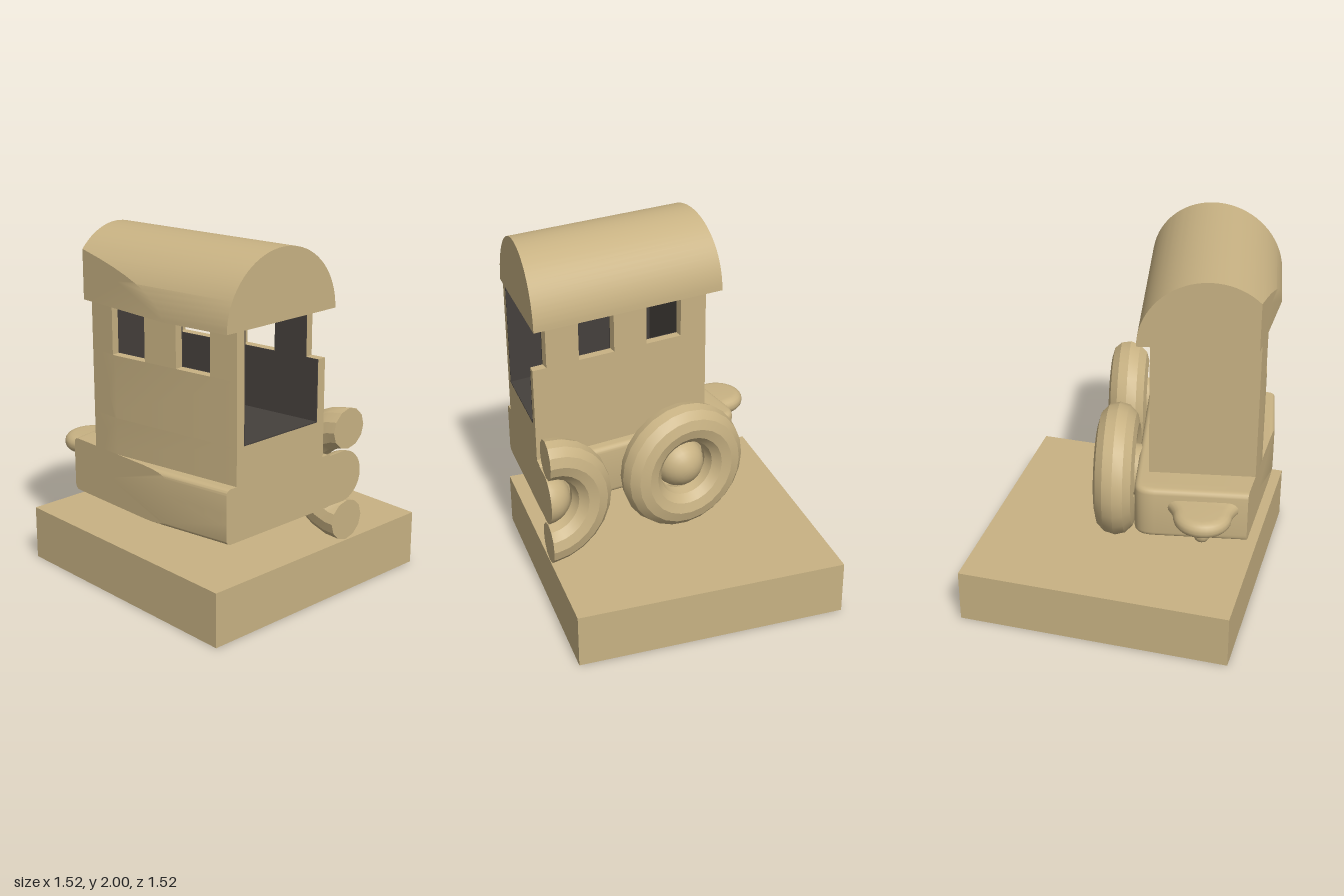
import * as THREE from 'three';
import { mergeGeometries, toCreasedNormals } from 'three/addons/utils/BufferGeometryUtils.js';

const YAW = 0.183;   // the carriage stands at a slight angle on its base
const EDGE = 0.76;   // half width of the square base, where the carriage is sliced
const MID = -0.443;  // centre line of the carriage

// Slice a closed solid where coordinate `axis` times `sign` exceeds EDGE, and cap the cut
function slice(tris, axis, sign) {
  const out = [], rim = [];
  const dist = (p) => p.getComponent(axis) * sign - EDGE;
  for (const tri of tris) {
    const poly = [];
    let exit = null, entry = null;
    for (let i = 0; i < 3; i++) {
      const a = tri[i], b = tri[(i + 1) % 3], da = dist(a), db = dist(b);
      if (da <= 0) poly.push(a);
      if ((da <= 0) !== (db <= 0)) {
        const p = a.clone().lerp(b, da / (da - db));
        poly.push(p);
        if (da <= 0) exit = p; else entry = p;
      }
    }
    for (let i = 2; i < poly.length; i++) out.push([poly[0], poly[i - 1], poly[i]]);
    if (exit && entry) rim.push([exit, entry]);
  }
  if (rim.length) {
    const c = new THREE.Vector3();
    rim.forEach(([a, b]) => c.add(a).add(b));
    c.divideScalar(rim.length * 2);
    rim.forEach(([a, b]) => out.push([c, b, a]));
  }
  return out;
}

// Turn a solid to the carriage angle and slice it at the base edges
function trim(geometry) {
  const g = geometry.index ? geometry.toNonIndexed() : geometry;
  g.rotateY(YAW);
  const pos = g.attributes.position;
  let tris = [];
  for (let i = 0; i < pos.count; i += 3) {
    tris.push([0, 1, 2].map((k) => new THREE.Vector3().fromBufferAttribute(pos, i + k)));
  }
  tris = slice(slice(tris, 0, -1), 2, 1);
  return new THREE.BufferGeometry().setFromPoints(tris.flat());
}

function block(x0, x1, y0, y1, z0, z1) {
  return new THREE.BoxGeometry(x1 - x0, y1 - y0, z1 - z0)
    .translate((x0 + x1) / 2, (y0 + y1) / 2, (z0 + z1) / 2);
}

// Flat outline laid horizontally with rounded upper and lower edges
function slab(shape, y0, y1, bevel, thickness) {
  return new THREE.ExtrudeGeometry(shape, {
    depth: y1 - y0 - 2 * thickness, bevelEnabled: true, bevelSize: bevel, bevelOffset: -bevel,
    bevelThickness: thickness, bevelSegments: 4, curveSegments: 8,
  }).rotateX(-Math.PI / 2).translate(MID, y0 + thickness, 0);
}

export function createModel() {
  const model = new THREE.Group();
  const tan = new THREE.MeshStandardMaterial({ color: 0xc8b283 });
  tan.name = 'tan';
  const dark = new THREE.MeshStandardMaterial({ color: 0x45403c });
  dark.name = 'dark interior';

  const add = (name, geometry, material = tan) => {
    const mesh = new THREE.Mesh(geometry, material);
    mesh.name = name;
    model.add(mesh);
  };
  const solid = (name, parts, material) => {
    const kept = parts.map(trim).filter((g) => g.attributes.position.count);
    add(name, toCreasedNormals(mergeGeometries(kept), 0.5), material);
  };

  // Square base
  add('base', block(-EDGE, EDGE, 0, 0.305, -EDGE, EDGE));

  // Barrel roof
  const arch = new THREE.Shape().absarc(MID, 1.63, 0.372, 0, Math.PI);
  solid('roof', [new THREE.ExtrudeGeometry(arch, { depth: 1.6, bevelEnabled: false, curveSegments: 18 })
    .translate(0, 0, -0.38)]);

  // Chassis with rounded rear corners
  const w = 0.373, plan = new THREE.Shape();
  plan.moveTo(-w, -1.2);
  plan.lineTo(w, -1.2);
  plan.lineTo(w, 0.41);
  plan.quadraticCurveTo(w, 0.5, w - 0.11, 0.5);
  plan.lineTo(0.11 - w, 0.5);
  plan.quadraticCurveTo(-w, 0.5, -w, 0.41);
  solid('chassis', [slab(plan, 0.54, 0.838, 0.03, 0.03)]);

  // Cabin: floor, rear wall, and side walls with windows open up to the roof
  const half = 0.305, wall = 0.049, inner = half - wall, lining = 0.006;
  const rear = -0.315, front = 1.15, floor = 1.04, sill = 1.38, top = 1.63;
  const pillars = [[rear, -0.155], [0.06, 0.26], [0.473, 0.666]];
  solid('cabinFloor', [block(MID - half, MID + half, 0.83, floor, rear, front)]);
  solid('rearWall', [block(MID - half, MID + half, floor, top, rear, rear + wall)]);
  solid('rearLining', [block(MID - inner, MID + inner, floor, top, rear + wall, rear + wall + lining)], dark);
  solid('floorLining', [block(MID - inner, MID + inner, floor, floor + lining, rear + wall, front)], dark);
  for (const side of [1, -1]) {
    const label = side > 0 ? 'left' : 'right';
    const panel = (a, b, y0, y1, z0, z1) => {
      const p = MID + side * a, q = MID + side * b;
      return block(Math.min(p, q), Math.max(p, q), y0, y1, z0, z1);
    };
    solid(label + 'Wall', [panel(inner, half, floor, sill, rear + wall, front),
      ...pillars.map(([z0, z1]) => panel(inner, half, sill, top, Math.max(z0, rear + wall), z1))]);
    solid(label + 'Lining', [panel(inner - lining, inner, floor, sill, rear + wall, front),
      ...pillars.map(([z0, z1]) => panel(inner - lining, inner, sill, top, Math.max(z0, rear + wall), z1))], dark);
  }

  // Wheels: fat tyre in two half rings, with a domed hub on a thick axle
  const profile = [new THREE.Vector2(0, -0.15), new THREE.Vector2(0.145, -0.15)];
  for (let i = 0; i <= 8; i++) {
    const a = (i / 8) * Math.PI / 2;
    profile.push(new THREE.Vector2(i === 8 ? 0 : 0.145 * Math.cos(a), 0.145 * Math.sin(a)));
  }
  for (const [label, z] of [['rear', -0.053], ['front', 0.783]]) {
    solid(label + 'Tyre', [0, Math.PI].map((turn) =>
      new THREE.TorusGeometry(0.262, 0.113, 12, 12, Math.PI)
        .rotateZ(turn).rotateY(Math.PI / 2).translate(0.057, 0.686, z)));
    solid(label + 'Hub', [new THREE.LatheGeometry(profile, 24)
      .rotateZ(-Math.PI / 2).translate(0.01, 0.686, z)]);
  }

  // Rear coupling tongue with a stud beneath
  const tongue = new THREE.Shape();
  tongue.moveTo(-0.24, 0.36);
  tongue.lineTo(-0.24, 0.45);
  tongue.quadraticCurveTo(-0.17, 0.5, -0.155, 0.58);
  tongue.absarc(0, 0.58, 0.155, Math.PI, 0, true);
  tongue.quadraticCurveTo(0.17, 0.5, 0.24, 0.45);
  tongue.lineTo(0.24, 0.36);
  solid('couplingTongue', [slab(tongue, 0.69, 0.782, 0.05, 0.044)]);
  solid('couplingStud', [new THREE.CapsuleGeometry(0.045, 0.03, 4, 12).translate(MID, 0.675, -0.62)]);

  return model;
}
